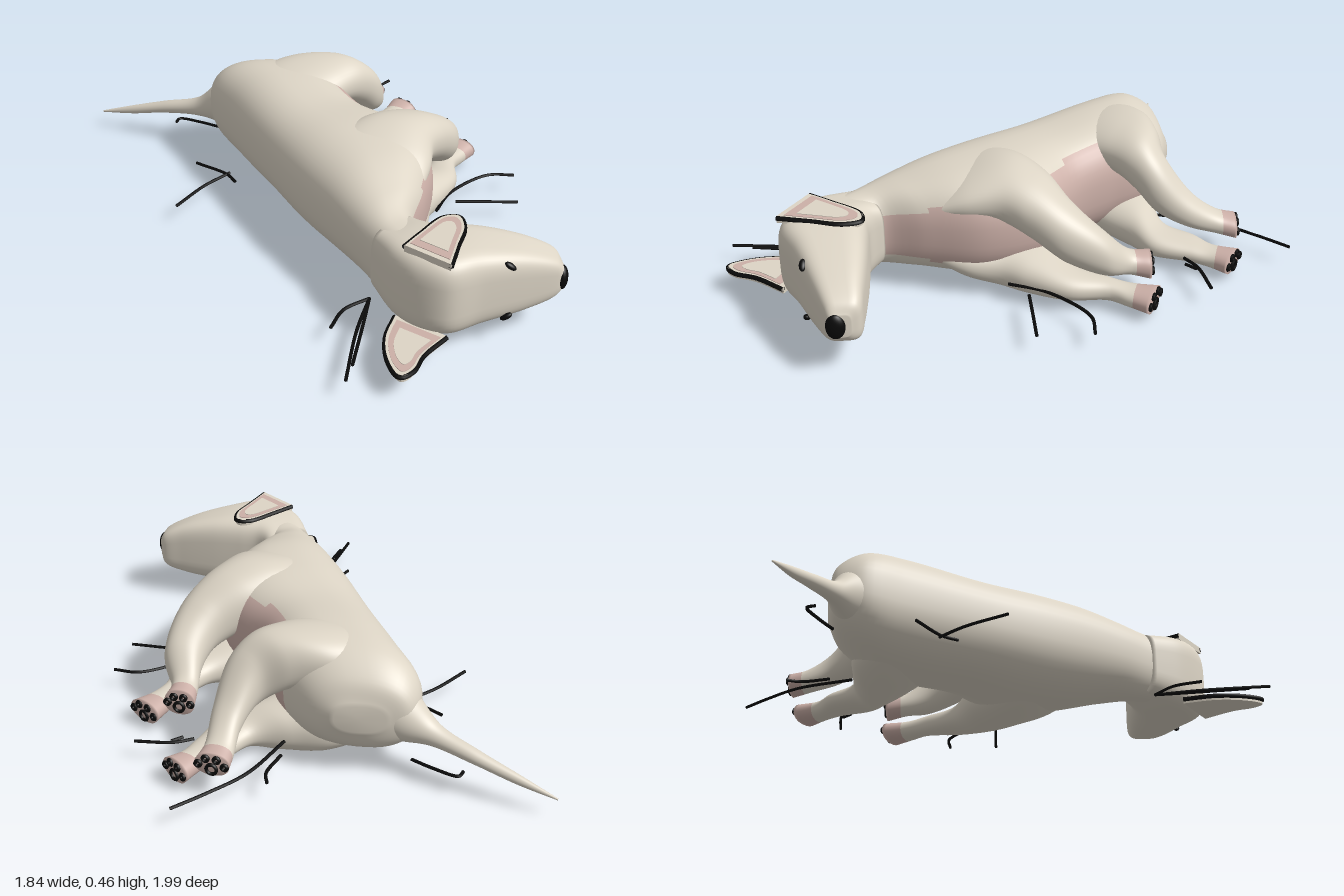
import * as THREE from 'three';

const CREAM = 0xddd5c6, PINK = 0xccb0a8, BLACK = 0x0a0a0a;
const V = (x, y, z) => new THREE.Vector3(x, y, z);

export function createModel() {
  const model = new THREE.Group();
  const mats = {};
  const mat = (c) => (mats[c] ??= new THREE.MeshStandardMaterial({ color: c, side: THREE.DoubleSide }));
  const add = (name, geo, color) => {
    const m = new THREE.Mesh(geo, mat(color));
    m.name = name;
    model.add(m);
    return m;
  };

  // Skin through sections [ax, az, bx, bz, yLow, yHigh]: A and B are the two edges seen from above.
  // isPink(u, side) picks the faces of the bare skin; side is 1 at edge B and -1 at edge A.
  function loft(name, secs, power, isPink = () => false, pinkName = name) {
    const N = 56, M = 48, pos = [], skin = [], bare = [];
    const ca = new THREE.CatmullRomCurve3(secs.map((s) => V(s[0], s[4], s[1])));
    const cb = new THREE.CatmullRomCurve3(secs.map((s) => V(s[2], s[5], s[3])));
    const bend = (v) => Math.sign(v) * Math.abs(v) ** power;
    const centre = (u) => ca.getPoint(u).add(cb.getPoint(u)).multiplyScalar(0.5);
    for (let i = 0; i <= N; i++) {
      const a = ca.getPoint(i / N), c = centre(i / N), e = cb.getPoint(i / N).sub(a).multiplyScalar(0.5);
      for (let j = 0; j < M; j++) {
        const t = (j / M) * Math.PI * 2, k = bend(Math.cos(t));
        pos.push(c.x + e.x * k, c.y + e.y * bend(Math.sin(t)), c.z + e.z * k);
      }
    }
    pos.push(...centre(0).toArray(), ...centre(1).toArray());
    const e = cb.getPoint(0.5).sub(ca.getPoint(0.5)), t = centre(0.55).sub(centre(0.45));
    const flip = -e.z * t.x + e.x * t.z < 0;
    const tri = (list, a, b, c) => (flip ? list.push(a, c, b) : list.push(a, b, c));
    for (let j = 0; j < M; j++) {
      const k = (j + 1) % M, side = Math.cos(((j + 0.5) / M) * Math.PI * 2);
      for (let i = 0; i < N; i++) {
        const list = isPink((i + 0.5) / N, side) ? bare : skin, p = i * M, q = p + M;
        tri(list, p + j, p + k, q + j);
        tri(list, p + k, q + k, q + j);
      }
      tri(isPink(0, side) ? bare : skin, (N + 1) * M, k, j);
      tri(isPink(1, side) ? bare : skin, (N + 1) * M + 1, N * M + j, N * M + k);
    }
    const geo = new THREE.BufferGeometry();
    geo.setAttribute('position', new THREE.Float32BufferAttribute(pos, 3));
    geo.setIndex([...skin, ...bare]);
    geo.computeVertexNormals();
    const part = geo.clone();
    geo.setIndex(skin);
    add(name, geo, CREAM);
    if (bare.length) {
      part.setIndex(bare);
      add(pinkName, part, PINK);
    }
  }

  // Black brush line through [x, y, z] points
  const stroke = (name, pts, r = 0.006, closed = false) => add(name, new THREE.TubeGeometry(
    new THREE.CatmullRomCurve3(pts.map((p) => V(...p)), closed), pts.length * 8, r, 6, closed), BLACK);

  // Torso and neck; the bare belly narrows towards the throat
  loft('torso', [
    [-0.34, -0.56, -0.17, -0.594, 0.19, 0.29], [-0.42, -0.52, -0.06, -0.56, 0.11, 0.37],
    [-0.43, -0.42, 0.06, -0.47, 0.055, 0.435], [-0.33, -0.27, 0.13, -0.36, 0.035, 0.448],
    [-0.16, -0.02, 0.22, -0.24, 0.04, 0.435], [-0.02, 0.19, 0.38, -0.12, 0.03, 0.445],
    [0.1, 0.35, 0.46, 0.08, 0.05, 0.435], [0.2, 0.48, 0.44, 0.28, 0.08, 0.395],
    [0.28, 0.58, 0.41, 0.43, 0.09, 0.36], [0.35, 0.68, 0.45, 0.48, 0.09, 0.355],
  ], 0.82, (u, side) => u > 0.2 && u < 0.92 && side > 0.65 + 0.28 * Math.max(0, u - 0.45) / 0.5, 'belly');

  // Boxy head growing out of the neck and tapering to the muzzle
  loft('head', [
    [0.27, 0.57, 0.41, 0.43, 0.105, 0.345], [0.345, 0.685, 0.44, 0.46, 0.08, 0.362],
    [0.43, 0.75, 0.47, 0.472, 0.07, 0.37], [0.53, 0.772, 0.54, 0.47, 0.068, 0.372],
    [0.64, 0.712, 0.65, 0.465, 0.08, 0.358], [0.78, 0.64, 0.79, 0.465, 0.1, 0.32],
    [0.88, 0.585, 0.87, 0.47, 0.13, 0.275], [0.905, 0.565, 0.895, 0.5, 0.16, 0.24],
  ], 0.5);

  // Tail
  loft('tail', [
    [-0.33, -0.3, -0.25, -0.55, 0.1, 0.37], [-0.43, -0.42, -0.37, -0.55, 0.13, 0.31],
    [-0.51, -0.47, -0.48, -0.54, 0.14, 0.22], [-0.65, -0.52, -0.64, -0.57, 0.12, 0.17],
    [-0.79, -0.56, -0.785, -0.59, 0.09, 0.125], [-0.92, -0.599, -0.92, -0.605, 0.073, 0.08],
  ], 1);

  // Legs with bare paws; shoulders and thighs sink into the torso
  const legs = {
    upperFrontLeg: [
      [0.1, 0.26, 0.42, 0.28, 0.28, 0.36], [0.06, 0.12, 0.45, 0.16, 0.27, 0.435],
      [0.14, -0.02, 0.46, 0.04, 0.26, 0.464], [0.25, -0.13, 0.5, -0.05, 0.23, 0.44],
      [0.37, -0.22, 0.545, -0.17, 0.17, 0.37], [0.4, -0.3, 0.54, -0.32, 0.12, 0.28],
      [0.385, -0.4, 0.48, -0.41, 0.095, 0.18], [0.37, -0.475, 0.48, -0.48, 0.075, 0.17]],
    lowerFrontLeg: [
      [0.1, 0.26, 0.42, 0.28, 0.12, 0.2], [0.06, 0.12, 0.45, 0.16, 0.04, 0.2],
      [0.14, -0.02, 0.46, 0.04, 0.008, 0.19], [0.25, -0.13, 0.5, -0.05, 0.01, 0.17],
      [0.4, -0.22, 0.55, -0.19, 0.03, 0.13], [0.45, -0.32, 0.545, -0.33, 0.035, 0.11],
      [0.48, -0.41, 0.575, -0.39, 0.03, 0.1], [0.5, -0.51, 0.62, -0.455, 0.025, 0.105]],
    upperHindLeg: [
      [-0.26, -0.24, -0.05, -0.12, 0.28, 0.36], [-0.28, -0.38, 0.05, -0.25, 0.27, 0.44],
      [-0.16, -0.5, 0.12, -0.34, 0.28, 0.464], [-0.01, -0.54, 0.185, -0.42, 0.25, 0.455],
      [0.09, -0.56, 0.235, -0.5, 0.19, 0.39], [0.13, -0.65, 0.245, -0.62, 0.14, 0.26],
      [0.125, -0.74, 0.23, -0.74, 0.105, 0.185], [0.12, -0.805, 0.24, -0.805, 0.09, 0.17]],
    lowerHindLeg: [
      [-0.26, -0.24, -0.05, -0.12, 0.12, 0.2], [-0.28, -0.38, 0.05, -0.25, 0.04, 0.19],
      [-0.16, -0.5, 0.12, -0.34, 0.008, 0.19], [-0.01, -0.53, 0.185, -0.42, 0.01, 0.17],
      [0.12, -0.56, 0.27, -0.5, 0.03, 0.13], [0.18, -0.66, 0.31, -0.63, 0.035, 0.11],
      [0.235, -0.72, 0.335, -0.7, 0.03, 0.1], [0.27, -0.815, 0.375, -0.75, 0.025, 0.105]],
  };
  for (const [name, secs] of Object.entries(legs)) {
    loft(name, secs, 0.9, (u) => u > 0.89, name + 'Paw');
    // Painted rings for the pad and toes on the sole
    const [ax, az, bx, bz, lo, hi] = secs.at(-1), mid = (lo + hi) / 2;
    const ring = (k, y, r) => stroke(name + 'Pad', [0, 1, 2, 3, 4, 5].map((i) => {
      const f = k + (Math.cos(i * Math.PI / 3) * r) / Math.hypot(bx - ax, bz - az);
      return [ax + (bx - ax) * f, y + Math.sin(i * Math.PI / 3) * r, az + (bz - az) * f - 0.004];
    }), 0.006, true);
    ring(0.5, mid - 0.015, 0.018);
    for (const [k, dy] of [[0.12, 0], [0.34, 0.024], [0.66, 0.024], [0.88, 0]]) ring(k, mid + dy, 0.01);
  }

  // Ears: thin leaf, bare band inside and black rim, as [x, z] outlines
  const leaf = (pts, y, depth) => {
    const shape = new THREE.Shape(new THREE.SplineCurve(pts.map((p) => new THREE.Vector2(...p))).getPoints(36));
    return new THREE.ExtrudeGeometry(shape, { depth, bevelEnabled: false }).rotateX(Math.PI / 2).translate(0, y, 0);
  };
  const ears = {
    upperEar: [0.38, [[0.38, 0.68], [0.43, 0.6], [0.5, 0.5], [0.55, 0.49], [0.57, 0.55], [0.55, 0.66], [0.53, 0.77]]],
    lowerEar: [0.1, [[0.36, 0.68], [0.335, 0.8], [0.35, 0.91], [0.39, 0.98], [0.43, 0.95], [0.46, 0.87], [0.53, 0.77]]],
  };
  for (const [name, [y, pts]] of Object.entries(ears)) {
    const cx = pts.reduce((s, p) => s + p[0], 0) / pts.length, cz = pts.reduce((s, p) => s + p[1], 0) / pts.length;
    const inset = (f) => pts.map(([x, z]) => [cx + (x - cx) * f, cz + (z - cz) * f]);
    add(name, leaf(pts, y, 0.025), CREAM);
    add(name + 'Band', leaf(inset(0.85), y + 0.002, 0.005), PINK);
    add(name + 'Inside', leaf(inset(0.6), y + 0.004, 0.005), CREAM);
    stroke(name + 'Rim', pts.map(([x, z]) => [x, y - 0.008, z]), 0.009);
  }

  // Nose and eyes
  const blob = (name, p, s, tilt = 0) => {
    const m = add(name, new THREE.SphereGeometry(1, 20, 14), BLACK);
    m.position.set(...p);
    m.scale.set(...s);
    m.rotation.z = tilt;
  };
  blob('nose', [0.898, 0.2, 0.548], [0.02, 0.045, 0.032]);
  blob('upperEye', [0.72, 0.312, 0.664], [0.022, 0.01, 0.012], -0.6);
  blob('lowerEye', [0.72, 0.112, 0.664], [0.022, 0.01, 0.012], 0.6);

  // Loose brush marks lying in a plane around the body, as [x, z] points
  const marks = [
    [[-0.6, -0.54], [-0.59, -0.57], [-0.5, -0.55], [-0.42, -0.52]],
    [[-0.46, -0.23], [-0.33, -0.16], [-0.29, -0.11]],
    [[-0.48, 0.08], [-0.4, -0.07], [-0.32, -0.17]],
    [[0, -0.78], [0.02, -0.73], [0.005, -0.62]],
    [[0.02, -0.54], [0.08, -0.75], [0.17, -0.89], [0.25, -0.995]],
    [[0.32, -0.61], [0.38, -0.65], [0.51, -0.68]],
    [[0.36, -0.61], [0.39, -0.645]],
    [[0.48, 0.01], [0.53, -0.12], [0.67, -0.26], [0.77, -0.27]],
    [[0.55, -0.06], [0.66, -0.07], [0.78, -0.08]],
    [[0.155, 0.74], [0.19, 0.64], [0.27, 0.57]],
    [[0.27, 0.57], [0.24, 0.75], [0.225, 0.995]],
    [[0.27, 0.57], [0.26, 0.7], [0.24, 0.92]],
  ];
  for (const m of marks) stroke('brushMark', m.map(([x, z]) => [x, 0.078, z]));

  return model;
}
